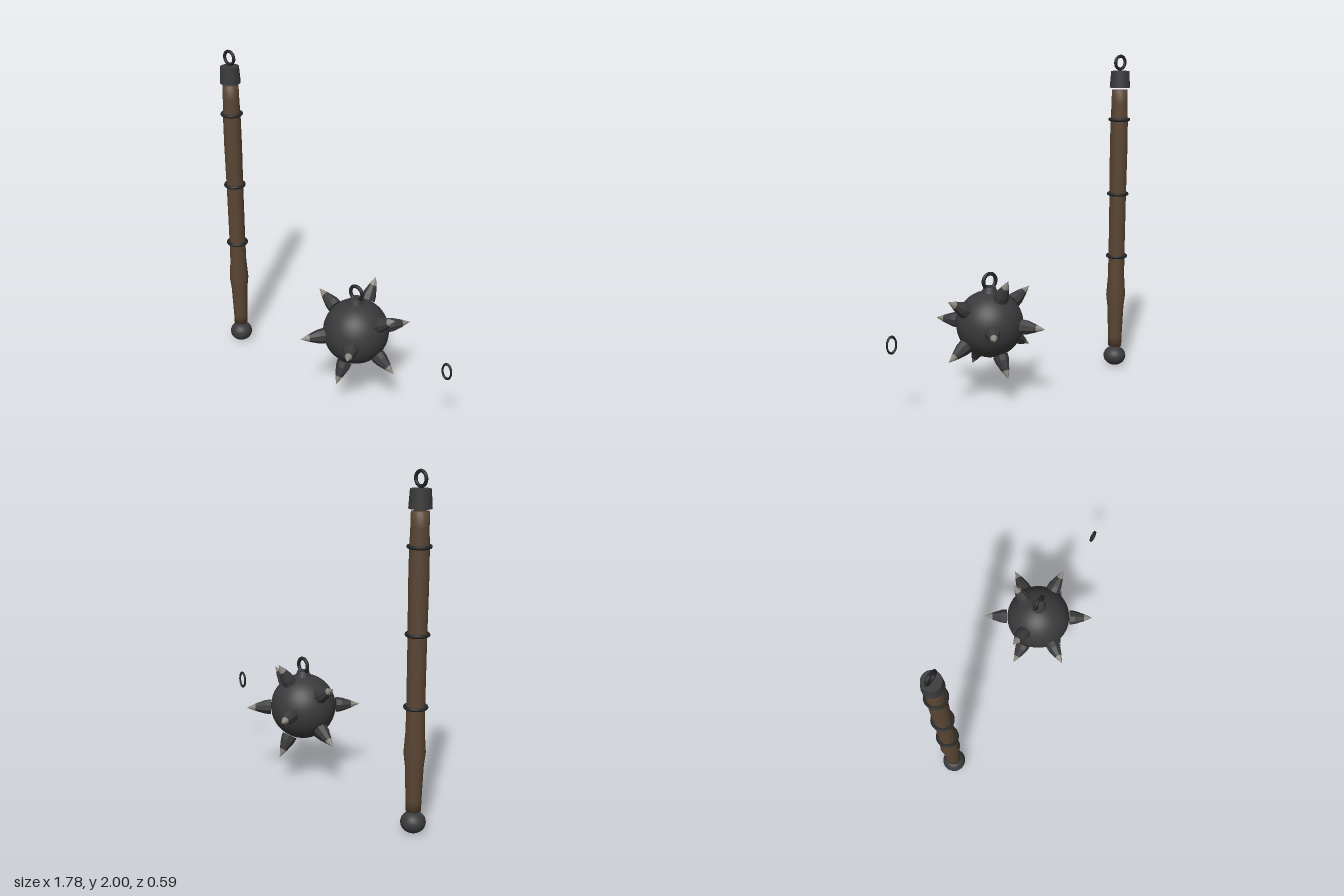
import * as THREE from 'three';

const iron = new THREE.MeshStandardMaterial({ color: 0x3a3a3c });
const ironFlat = new THREE.MeshStandardMaterial({ color: 0x3a3a3c, flatShading: true });
const darkIron = new THREE.MeshStandardMaterial({ color: 0x242526 });
const wood = new THREE.MeshStandardMaterial({ color: 0x5a4634 });
const steel = new THREE.MeshStandardMaterial({ color: 0x8c8880, flatShading: true });

function add(parent, name, geometry, material, x = 0, y = 0, z = 0) {
  const mesh = new THREE.Mesh(geometry, material);
  mesh.name = name;
  mesh.position.set(x, y, z);
  parent.add(mesh);
  return mesh;
}

function lathe(points, sides) {
  return new THREE.LatheGeometry(points.map(([r, y]) => new THREE.Vector2(r, y)), sides);
}

// Wooden shaft with iron bands, cap, eye ring and pommel
function createHandle() {
  const handle = new THREE.Group();
  handle.name = 'handle';

  const shaft = [
    [0, 0.135], [0.043, 0.135], [0.044, 0.2], [0.052, 0.4], [0.061, 0.475],
    [0.052, 0.6], [0.051, 0.75], [0.052, 1.1], [0.055, 1.4], [0.054, 1.57],
    [0.05, 1.7], [0.049, 1.785], [0, 1.785],
  ];
  add(handle, 'shaft', lathe(shaft, 20), wood);

  add(handle, 'pommel', new THREE.SphereGeometry(0.071, 24, 16), iron, 0, 0.066, 0)
    .scale.y = 0.87;

  for (const y of [0.733, 1.135, 1.603]) {
    add(handle, 'band', new THREE.TorusGeometry(0.058, 0.01, 8, 28), darkIron, 0, y, 0)
      .rotation.x = Math.PI / 2;
  }

  add(handle, 'cap', new THREE.CylinderGeometry(0.056, 0.063, 0.1, 20), iron, 0, 1.85, 0);
  add(handle, 'capRing', new THREE.TorusGeometry(0.039, 0.0095, 10, 28), darkIron, 0, 1.952, 0);
  return handle;
}

// One spike along +y: faceted body with a bright point
function createSpike() {
  const spike = new THREE.Group();
  spike.name = 'spike';
  const body = [[0, 0.2], [0.046, 0.2], [0.042, 0.235], [0.023, 0.293]];
  add(spike, 'spikeBody', lathe(body, 8), ironFlat);
  add(spike, 'spikeTip', lathe([[0.023, 0.293], [0, 0.346]], 8), steel);
  return spike;
}

// Iron ball with spikes on the icosahedron directions and a hanging ring
function createBall() {
  const ball = new THREE.Group();
  ball.name = 'spikedBall';
  add(ball, 'ball', new THREE.SphereGeometry(0.198, 40, 28), iron);

  const up = new THREE.Vector3(0, 1, 0);
  const long = 0.851, short = 0.526;
  for (const a of [-1, 1]) {
    for (const b of [-1, 1]) {
      const directions = [[a * long, b * short, 0], [a * short, 0, b * long]];
      // The upper front direction is left clear
      if (a < 0 || b < 0) directions.push([0, a * long, b * short]);
      for (const d of directions) {
        const spike = createSpike();
        spike.quaternion.setFromUnitVectors(up, new THREE.Vector3(...d).normalize());
        ball.add(spike);
      }
    }
  }

  add(ball, 'ringBase', new THREE.CylinderGeometry(0.034, 0.05, 0.04, 16), iron, 0, 0.205, 0);
  add(ball, 'ballRing', new THREE.TorusGeometry(0.044, 0.011, 10, 28), darkIron, 0, 0.257, 0);
  return ball;
}

export function createModel() {
  const model = new THREE.Group();
  model.name = 'flail';

  const handle = createHandle();
  handle.position.x = -0.82;
  const ball = createBall();
  ball.position.set(0.183, 0.468, 0);
  model.add(handle, ball);

  // Single loose oval chain link
  add(model, 'chainLink', new THREE.TorusGeometry(0.047, 0.008, 8, 28), darkIron, 0.852, 0.468, 0)
    .scale.set(0.63, 1, 0.9);
  return model;
}
